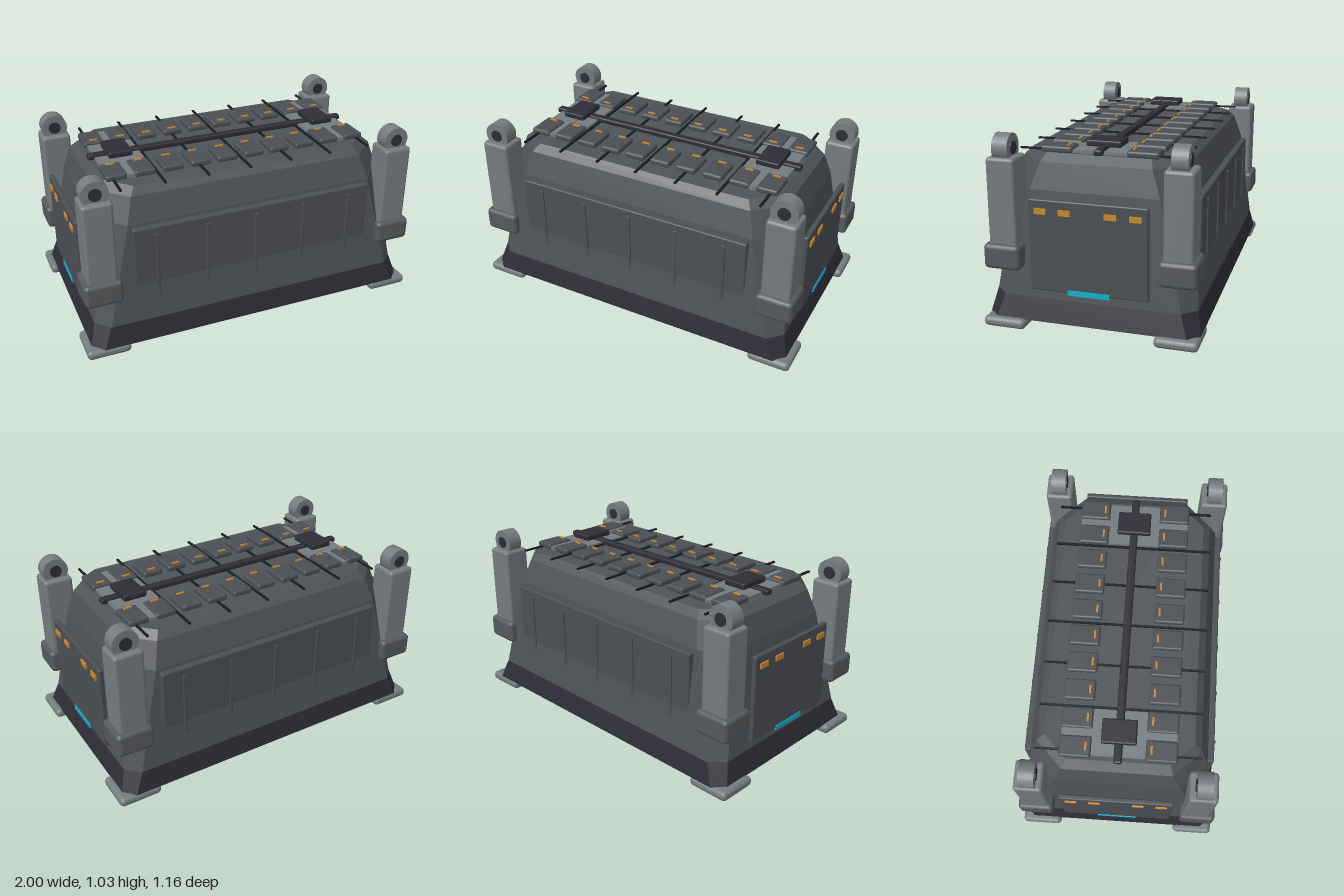
import * as THREE from 'three';
import { RoundedBoxGeometry } from 'three/addons/geometries/RoundedBoxGeometry.js';

const mat = (name, color, opts = {}) => {
  const m = new THREE.MeshStandardMaterial({ color, ...opts });
  m.name = name;
  return m;
};

// Chamfered-rectangle hull lofted through levels of [y, halfX, halfZ, chamfer]
function hull(levels) {
  const ring = ([y, x, z, c]) => [
    [x, y, z - c], [x - c, y, z], [c - x, y, z], [-x, y, z - c],
    [-x, y, c - z], [c - x, y, -z], [x - c, y, -z], [x, y, c - z],
  ];
  const rings = levels.map(ring);
  const pos = [];
  const tri = (...pts) => pts.forEach((p) => pos.push(...p));
  for (let k = 0; k < rings.length - 1; k++) {
    const a = rings[k], b = rings[k + 1];
    for (let i = 0; i < 8; i++) {
      const j = (i + 1) % 8;
      tri(a[i], b[j], a[j]);
      tri(a[i], b[i], b[j]);
    }
  }
  const low = rings[0], top = rings[rings.length - 1];
  for (let i = 1; i < 7; i++) {
    tri(low[0], low[i], low[i + 1]);
    tri(top[0], top[i + 1], top[i]);
  }
  const g = new THREE.BufferGeometry();
  g.setAttribute('position', new THREE.Float32BufferAttribute(pos, 3));
  g.computeVertexNormals();
  return g;
}

export function createModel() {
  const model = new THREE.Group();
  model.name = 'armouredCargoContainer';

  const hullGrey = mat('hull grey', 0x4f5357, { flatShading: true });
  const panelGrey = mat('panel grey', 0x4b4f53);
  const darkTrim = mat('dark trim', 0x2e2d36);
  const black = mat('seam black', 0x1c1d20);
  const steel = mat('steel', 0x757c7e);
  const collarGrey = mat('collar grey', 0x56595c);
  const amber = mat('amber', 0xcb8630);
  const cyan = mat('cyan', 0x12b0d0);

  const add = (name, geometry, material, x = 0, y = 0, z = 0) => {
    const mesh = new THREE.Mesh(geometry, material);
    mesh.name = name;
    mesh.position.set(x, y, z);
    model.add(mesh);
    return mesh;
  };
  // Box given by size and centre, rounded when r is set
  const box = (name, material, [w, h, d], [x, y, z], r = 0) =>
    add(name, r ? new RoundedBoxGeometry(w, h, d, 2, r) : new THREE.BoxGeometry(w, h, d), material, x, y, z);

  // Main hull and dark skirt
  add('skirt', hull([[0.05, 0.965, 0.575, 0.06], [0.17, 0.93, 0.55, 0.075]]), darkTrim).material.flatShading = true;
  add('hull', hull([
    [0.17, 0.93, 0.55, 0.075],
    [0.735, 0.86, 0.49, 0.143],
    [0.875, 0.825, 0.445, 0.147],
    [0.915, 0.775, 0.405, 0.125],
  ]), hullGrey);

  // Runners under the floor
  for (const z of [-0.315, 0, 0.315]) box('runner', steel, [1.45, 0.02, 0.03], [0, 0.016, z], 0.004);

  // Corner posts with collars, feet and lifting eyes
  for (const sx of [-1, 1]) for (const sz of [-1, 1]) {
    const x = sx * 0.878, z = sz * 0.463;
    box('foot', steel, [0.244, 0.054, 0.232], [x, 0.027, z], 0.024);
    box('cornerPost', steel, [0.165, 0.58, 0.155], [x, 0.622, z], 0.018);
    box('postCollar', collarGrey, [0.21, 0.135, 0.2], [sx * 0.88, 0.39, sz * 0.466], 0.024);
    add('liftingEye', new THREE.CylinderGeometry(0.074, 0.074, 0.084, 24), steel, x, 0.954, z).rotation.x = Math.PI / 2;
    add('eyePin', new THREE.CylinderGeometry(0.035, 0.035, 0.094, 16), darkTrim, x, 0.954, z).rotation.x = Math.PI / 2;
  }

  // Long side panels with upright ribs
  for (const s of [-1, 1]) {
    box('longPanel', panelGrey, [1.4, 0.39, 0.04], [0, 0.525, s * 0.507], 0.008);
    for (let i = -2; i <= 2; i++) box('panelRib', panelGrey, [0.018, 0.37, 0.03], [i * 0.287, 0.495, s * 0.52], 0.004);
  }

  // End panels with amber lamps and a cyan strip
  for (const s of [-1, 1]) {
    box('endPanel', panelGrey, [0.028, 0.49, 0.63], [s * 0.944, 0.47, 0], 0.008);
    for (const z of [-0.25, -0.121, 0.121, 0.25]) box('endLamp', amber, [0.009, 0.03, 0.063], [s * 0.962, 0.655, z]);
    box('endStrip', cyan, [0.009, 0.028, 0.224], [s * 0.958, 0.229, 0]);
  }

  // Roof seams
  for (let i = -3; i <= 3; i++) box('roofSeam', black, [0.012, 0.01, 0.89], [i * 0.243, 0.92, 0]);

  // Roof mounts and central spine
  for (const s of [-1, 1]) {
    box('roofMount', steel, [0.255, 0.018, 0.29], [s * 0.627, 0.922, 0]);
    box('mountBar', steel, [0.045, 0.024, 0.62], [s * 0.627, 0.923, 0]);
    box('spineBlock', darkTrim, [0.135, 0.034, 0.19], [s * 0.623, 0.956, 0], 0.008);
  }
  box('spine', darkTrim, [1.58, 0.032, 0.045], [0, 0.93, 0], 0.01);

  // Two rows of roof cells, each with an amber marker
  for (const s of [-1, 1]) for (let i = 0; i < 10; i++) {
    const x = (i - 4.5) * 0.158;
    box('roofCell', panelGrey, [0.116, 0.034, 0.17], [x, 0.929, s * 0.231], 0.012);
    box('cellMarker', amber, [0.046, 0.008, 0.011], [x, 0.949, s * 0.175]);
  }

  return model;
}
